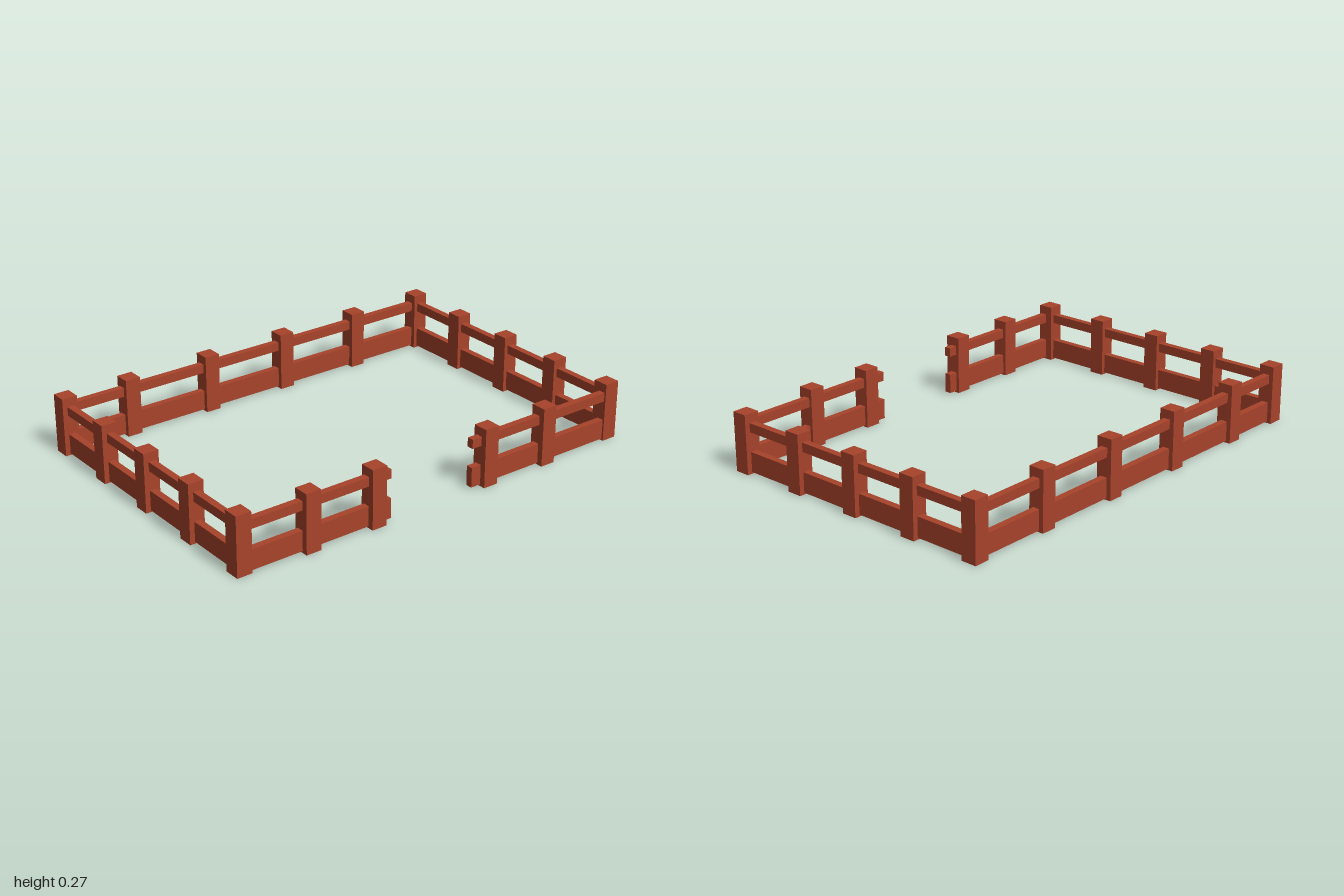
import * as THREE from 'three';

const POST = 0.071, HEIGHT = 0.267, RAIL = 0.031, EDGE = 0.9645;

export function createModel() {
  const fence = new THREE.Group();
  fence.name = 'fence';
  const wood = new THREE.MeshStandardMaterial({ color: 0xa8432b });
  wood.name = 'red wood';

  const box = (name, w, h, d, x, y, z) => {
    const mesh = new THREE.Mesh(new THREE.BoxGeometry(w, h, d), wood);
    mesh.name = name;
    mesh.position.set(x, y, z);
    fence.add(mesh);
  };
  const post = (name, x, z) => box(name, POST, HEIGHT, POST, x, HEIGHT / 2, z);

  // Each run has a wide lower board and a narrow upper rail
  const boards = [['lowerBoard', 0.008, 0.098], ['upperRail', 0.186, 0.227]];
  const railsAlongX = (side, x0, x1, z) => {
    for (const [name, y0, y1] of boards)
      box(side + name, x1 - x0, y1 - y0, RAIL, (x0 + x1) / 2, (y0 + y1) / 2, z);
  };
  const railsAlongZ = (side, z0, z1, x) => {
    for (const [name, y0, y1] of boards)
      box(side + name, RAIL, y1 - y0, z1 - z0, x, (y0 + y1) / 2, (z0 + z1) / 2);
  };

  // Back run
  for (const x of [-0.652, -0.24, 0.171, 0.583]) post('backPost', x, -0.654);
  railsAlongX('back ', -EDGE, EDGE, -0.654);

  // Front run, with a gateway gap
  for (const x of [-0.652, -0.328, 0.26, 0.583]) post('frontPost', x, 0.654);
  railsAlongX('front right ', -EDGE, -0.25, 0.648);
  railsAlongX('front left ', 0.176, EDGE, 0.648);

  // Sides and corners
  for (const s of [-1, 1]) {
    for (const z of [-0.331, -0.009, 0.314]) post('sidePost', s * EDGE, z);
    for (const z of [-0.654, 0.636]) post('cornerPost', s * EDGE, z);
    railsAlongZ('side ', -0.654, 0.636, s * 0.962);
  }
  return fence;
}
